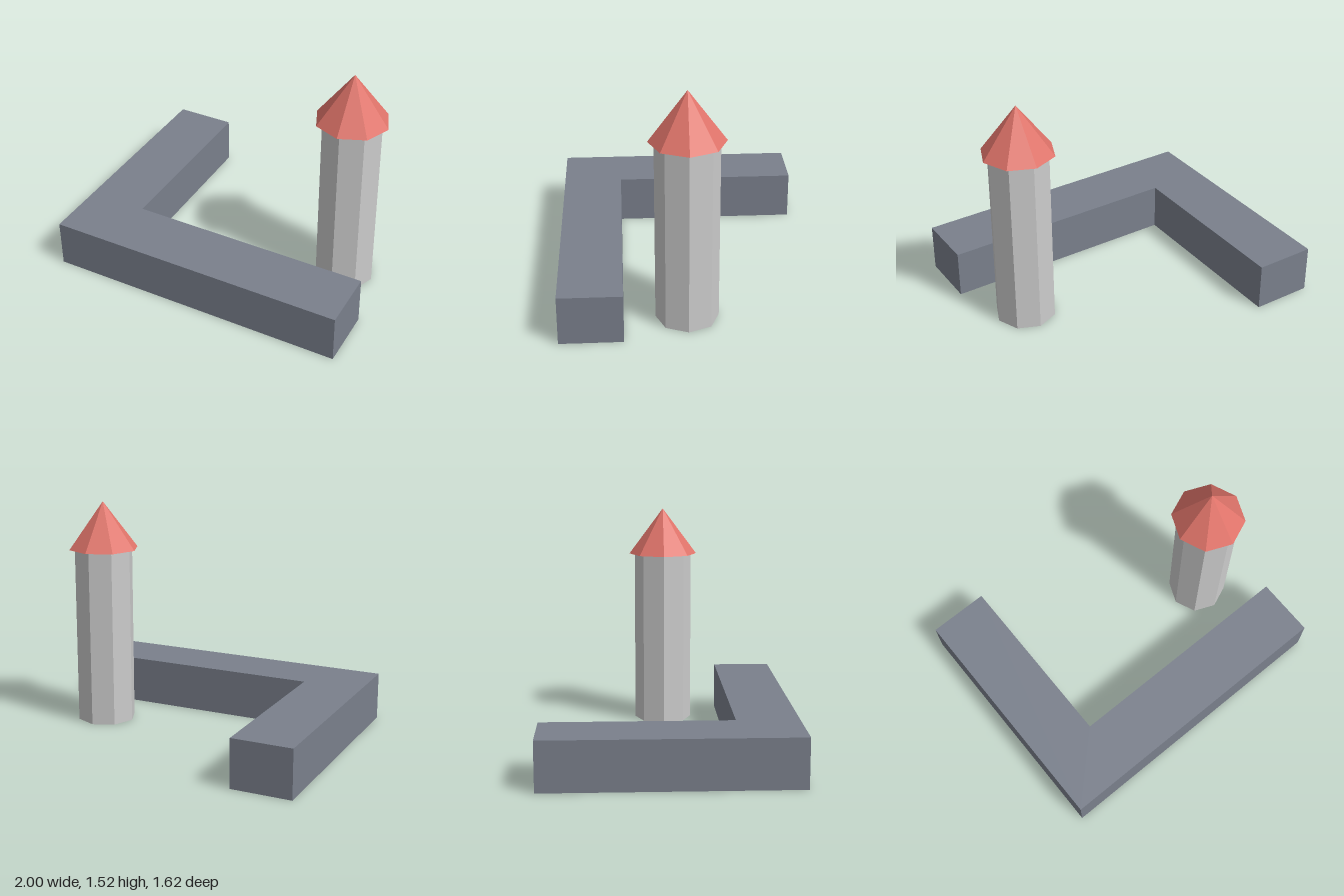
import * as THREE from 'three';

function addMesh(parent, name, geometry, color) {
  const material = new THREE.MeshStandardMaterial({ color });
  material.flatShading = true;
  const mesh = new THREE.Mesh(geometry, material);
  mesh.name = name;
  parent.add(mesh);
  return mesh;
}

export function createModel() {
  const model = new THREE.Group();
  model.name = 'towerAndWall';

  const wallHeight = 0.32, thickness = 0.4, halfDepth = 0.81;

  // L-shaped wall: plan drawn with shape y = -z, then laid flat
  const plan = new THREE.Shape([
    [-1, -halfDepth], [1, -halfDepth],
    [1, thickness - halfDepth], [thickness - 1, thickness - halfDepth],
    [thickness - 1, halfDepth], [-1, halfDepth],
  ].map(([x, y]) => new THREE.Vector2(x, y)));
  const wall = new THREE.ExtrudeGeometry(plan, { depth: wallHeight, bevelEnabled: false });
  wall.rotateX(-Math.PI / 2);
  addMesh(model, 'cornerWall', wall, 0x7a808c);

  // Octagonal tower with a pointed, overhanging roof
  const towerHeight = 1.2, roofHeight = 0.32, sides = 8;
  const tower = new THREE.Group();
  tower.name = 'tower';
  tower.position.set(0.72, 0, 0.01);
  model.add(tower);

  const shaft = new THREE.CylinderGeometry(0.2, 0.2, towerHeight, sides);
  addMesh(tower, 'towerShaft', shaft, 0xcccccc).position.y = towerHeight / 2;

  const roof = new THREE.ConeGeometry(0.238, roofHeight, sides);
  addMesh(tower, 'towerRoof', roof, 0xe0746a).position.y = towerHeight + roofHeight / 2;

  return model;
}
